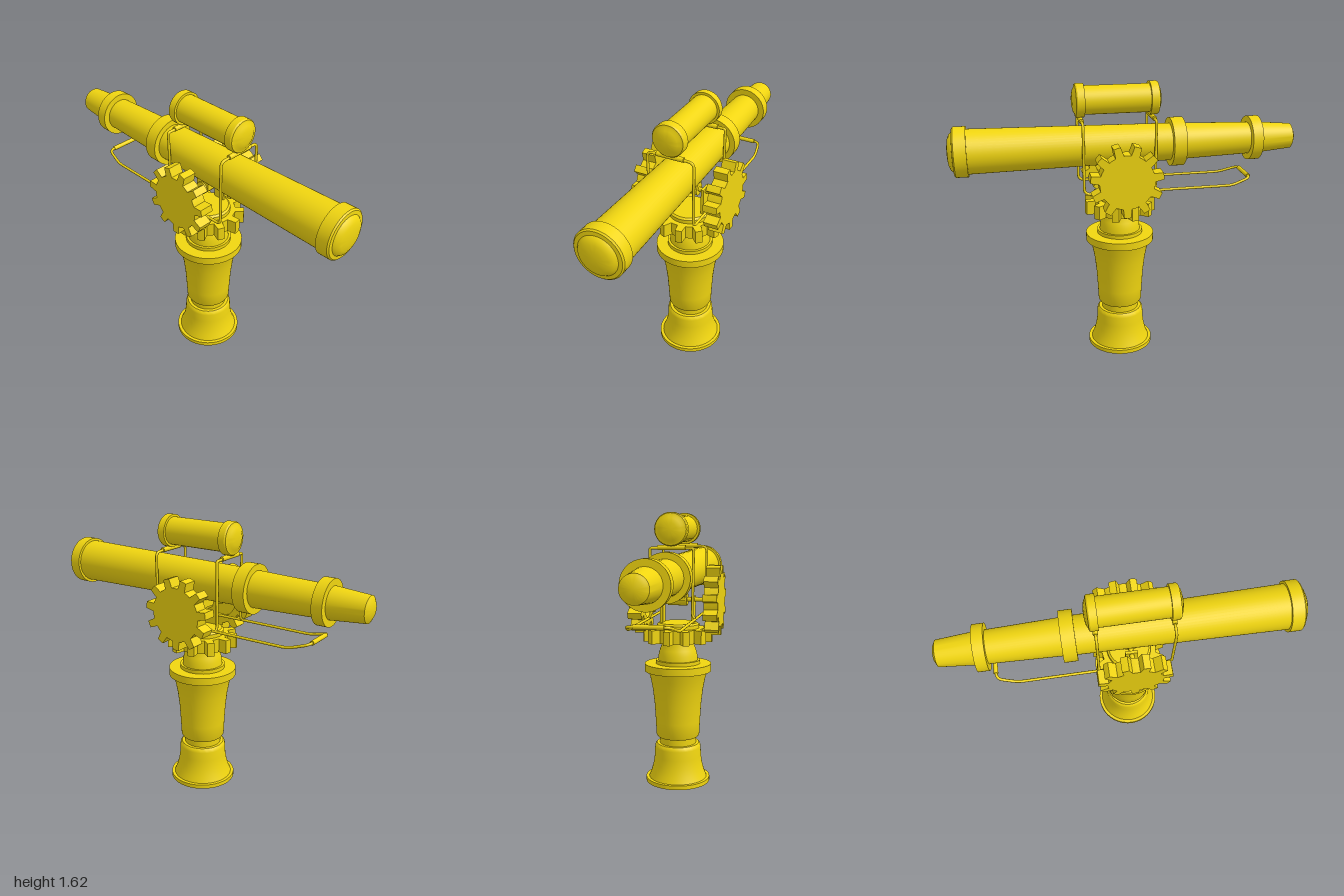
import * as THREE from 'three';
import { toCreasedNormals } from 'three/addons/utils/BufferGeometryUtils.js';

const MAT = new THREE.MeshStandardMaterial({ color: 0xf0d510 });
const CZ = 0.042; // z of the pedestal axis
const AXLE_Y = 1.12;

function add(parent, name, geo, x = 0, y = 0, z = 0) {
  const m = new THREE.Mesh(geo, MAT);
  m.name = name;
  m.position.set(x, y, z);
  parent.add(m);
  return m;
}

// Turned part from [radius, height] pairs; along z when alongZ is true
function turned(profile, alongZ = false) {
  const g = new THREE.LatheGeometry(profile.map(([r, h]) => new THREE.Vector2(r, h)), 48);
  if (alongZ) g.rotateX(Math.PI / 2);
  return toCreasedNormals(g, 0.55);
}

// Rod along x
const rod = (r, len) => new THREE.CylinderGeometry(r, r, len, 20).rotateZ(Math.PI / 2);

// Bent wire through points with rounded corners
function wire(points, radius = 0.008, bend = 0.035) {
  const p = points.map((a) => new THREE.Vector3(...a));
  const path = new THREE.CurvePath();
  let from = p[0];
  for (let i = 1; i < p.length - 1; i++) {
    const a = p[i].clone().add(p[i - 1].clone().sub(p[i]).setLength(bend));
    const b = p[i].clone().add(p[i + 1].clone().sub(p[i]).setLength(bend));
    path.add(new THREE.LineCurve3(from, a));
    path.add(new THREE.QuadraticBezierCurve3(a, p[i], b));
    from = b;
  }
  path.add(new THREE.LineCurve3(from, p[p.length - 1]));
  return new THREE.TubeGeometry(path, 240, radius, 10, false);
}

// Eleven-tooth gear in the xy plane, first tooth at angle start
function gear(depth, start, holeRadius = 0) {
  const teeth = 11, root = 0.155, tip = 0.206, step = (Math.PI * 2) / teeth;
  const pts = [];
  for (let i = 0; i < teeth; i++) {
    const c = start + i * step;
    for (const [r, o] of [[root, -0.27], [tip, -0.17], [tip, 0], [tip, 0.17], [root, 0.27], [root, 0.5]]) {
      pts.push(new THREE.Vector2(r * Math.cos(c + o * step), r * Math.sin(c + o * step)));
    }
  }
  const shape = new THREE.Shape(pts);
  if (holeRadius) shape.holes.push(new THREE.Path().absarc(0, 0, holeRadius, 0, Math.PI * 2, true));
  return toCreasedNormals(
    new THREE.ExtrudeGeometry(shape, { depth, bevelEnabled: false, curveSegments: 24 }), 0.4);
}

export function createModel() {
  const model = new THREE.Group();
  model.name = 'telescope';

  // Pedestal
  add(model, 'pedestal', turned([
    [0, 0], [0.195, 0], [0.195, 0.025], [0.176, 0.025], [0.162, 0.06], [0.149, 0.11], [0.142, 0.16],
    [0.14, 0.215], [0.137, 0.23], [0.128, 0.24], [0.11, 0.24], [0.11, 0.284], [0.125, 0.284],
    [0.131, 0.295], [0.135, 0.38], [0.141, 0.48], [0.151, 0.57], [0.164, 0.64], [0.178, 0.69],
    [0.2, 0.69], [0.2, 0.735], [0.133, 0.735], [0.133, 0.757], [0.119, 0.757], [0.116, 0.79],
    [0.108, 0.82], [0.098, 0.845], [0.094, 0.88], [0, 0.88],
  ]), 0, 0, CZ);

  // Turntable gear and its cap
  add(model, 'turntableGear', gear(0.08, Math.PI).rotateX(-Math.PI / 2), 0, 0.87, CZ);
  add(model, 'turntableCap', turned([
    [0, 0.95], [0.126, 0.95], [0.126, 0.972], [0.115, 0.982], [0, 0.982],
  ]), 0, 0, CZ);

  // Yoke: uprights, axle and saddle
  const yoke = new THREE.Group();
  yoke.name = 'yoke';
  model.add(yoke);
  for (const s of [-1, 1]) {
    add(yoke, 'upright', new THREE.BoxGeometry(0.016, 0.17, 0.07), s * 0.093, 1.055, CZ);
    add(yoke, 'axleCollar', rod(0.022, 0.02), s * 0.165, AXLE_Y, CZ);
  }
  add(yoke, 'axle', rod(0.013, 0.42), 0, AXLE_Y, CZ);
  add(yoke, 'saddle', rod(0.037, 0.115), 0, AXLE_Y, CZ);
  add(yoke, 'saddleBlock', new THREE.BoxGeometry(0.1, 0.06, 0.09), 0, 1.145, CZ);

  // Side gears, solid outside and recessed inside
  for (const s of [-1, 1]) {
    const wheel = new THREE.Group();
    wheel.name = s > 0 ? 'leftGear' : 'rightGear';
    wheel.position.set(s * 0.178, AXLE_Y, CZ);
    wheel.rotation.y = s * Math.PI / 2;
    add(wheel, 'gearRim', gear(0.04, -Math.PI / 2, 0.115));
    add(wheel, 'gearFace', gear(0.042, -Math.PI / 2), 0, 0, 0.04);
    add(wheel, 'gearHub', new THREE.CylinderGeometry(0.04, 0.04, 0.04, 24).rotateX(Math.PI / 2), 0, 0, 0.025);
    model.add(wheel);
  }

  // Main tube with rings, front lens and eyepiece
  add(model, 'mainTube', turned([
    [0, -1], [0.045, -0.997], [0.062, -0.988], [0.073, -0.982], [0.09, -0.78], [0.128, -0.78], [0.128, -0.718],
    [0.092, -0.718], [0.104, -0.325], [0.14, -0.325], [0.14, -0.25], [0.107, -0.25],
    [0.125, 0.89], [0.14, 0.89], [0.14, 0.958], [0.132, 0.966], [0.111, 0.968], [0.1, 0.982],
    [0.075, 0.993], [0.04, 0.998], [0, 1],
  ], true), 0, 1.27, 0);

  // Finder scope, symmetric end to end
  const half = [[0.08, 0.185], [0.094, 0.185], [0.094, 0.225], [0.089, 0.233], [0.076, 0.235],
    [0.062, 0.244], [0.035, 0.25], [0, 0.252]];
  add(model, 'finderScope', turned(
    [...half.map(([r, h]) => [r, -h]).reverse(), ...half], true), 0, 1.53, 0.058);

  // Wire cradle with rear handle
  const side = [[0, 1.425, 0.265], [0.137, 1.425, 0.265], [0.134, 1.026, 0.265],
    [0.134, 1.026, -0.6], [0.112, 1.06, -0.713], [0, 1.06, -0.713]];
  for (const s of [-1, 1]) {
    add(model, 'cradleWire', wire(side.map(([x, y, z]) => [s * x, y, z])));
  }
  add(model, 'rearHoop', wire([[-0.135, 1.026, -0.145], [-0.12, 1.05, -0.145], [-0.125, 1.425, -0.145],
    [0.125, 1.425, -0.145], [0.12, 1.05, -0.145], [0.135, 1.026, -0.145]], 0.008, 0.013));
  add(model, 'handleGrip', rod(0.013, 0.16), 0, 1.06, -0.713);
  for (const z of [0.265, -0.145]) add(model, 'finderRest', rod(0.014, 0.16), 0, 1.428, z);

  return model;
}
